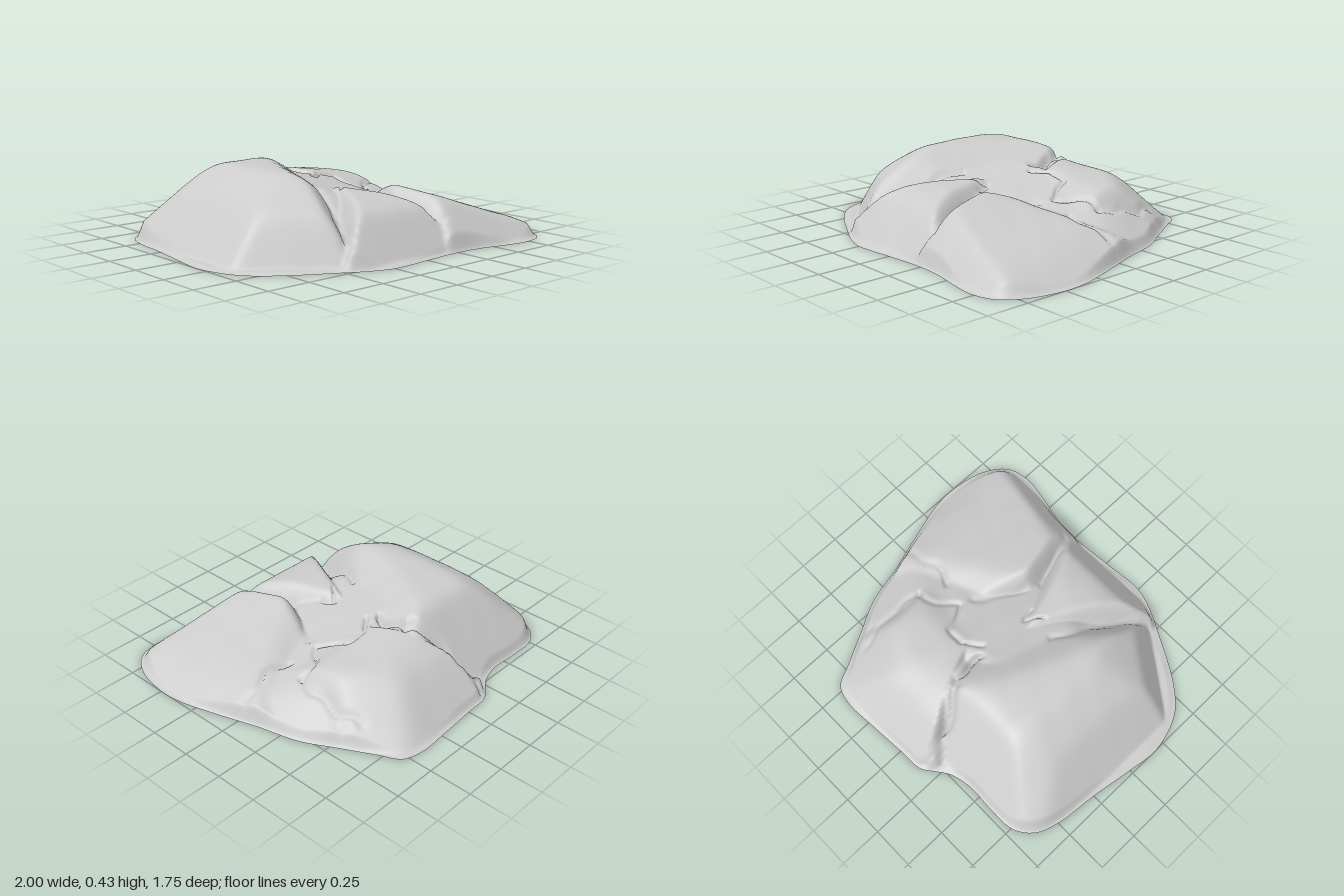
import * as THREE from 'three';
import { mergeVertices } from 'three/addons/utils/BufferGeometryUtils.js';

// Ground outline of the rock as [x, z]
const OUTLINE = [
  [-1, 0.2], [-0.98, 0], [-0.94, -0.25], [-0.91, -0.5], [-0.86, -0.63], [-0.76, -0.705],
  [-0.58, -0.715], [-0.42, -0.71], [-0.3, -0.74], [-0.23, -0.785], [-0.15, -0.84], [0, -0.85],
  [0.2, -0.865], [0.42, -0.875], [0.53, -0.84], [0.59, -0.73], [0.69, -0.54], [0.79, -0.35],
  [0.85, -0.12], [0.92, 0.1], [0.99, 0.35], [1, 0.5], [0.96, 0.7], [0.87, 0.83], [0.74, 0.87],
  [0.58, 0.85], [0.4, 0.81], [0.2, 0.8], [0, 0.815], [-0.25, 0.83], [-0.38, 0.79],
  [-0.55, 0.7], [-0.8, 0.55], [-0.93, 0.42],
];

// Each boulder: a tilted top [height, x tilt, z tilt] cut by sloped sides
// [normal x, normal z, distance from centre, steepness]
const BOULDERS = [
  { // tall left boulder
    top: [0.433, 0, 0],
    sides: [[-1, 0, 0.93, 1.35], [-1, 0, 1.22, 0.6], [-0.6, 0.8, 0.84, 2], [-0.6, 0.8, 1.08, 0.7],
      [0, -1, 0.72, 1.4], [0, -1, 1.24, 0.5], [-0.8, -0.6, 1.13, 0.85],
      [0.9, 0.43, 0.35, 0.7], [0.75, 0.66, 0.19, 1.5], [0.92, -0.39, 0.34, 2.2]],
  },
  { // back right boulder
    top: [0.352, -0.15, 0],
    sides: [[0, -1, 0.85, 1.15], [0, -1, 1.2, 0.45], [1, 0, 0.69, 1.5], [0.707, -0.707, 0.94, 0.9],
      [-0.92, 0.39, -0.1, 4], [0.3, 0.95, 0.38, 0.6]],
  },
  { // front middle boulder
    top: [0.308, -0.03, 0],
    sides: [[0, 1, 0.79, 1.5], [0, 1, 1.22, 0.42], [0.95, -0.3, 0.11, 1.7], [-0.9, -0.43, 0.14, 2]],
  },
  { // front right boulder
    top: [0.4, -0.32, -0.05],
    sides: [[0, 1, 0.84, 1.3], [0, 1, 1.12, 0.55], [0, -1, 0.29, 0.56], [-0.95, 0.3, 0.07, 2],
      [-0.84, -0.54, -0.14, 1.5], [1, 0, 0.99, 0.7]],
  },
  { // low core between the boulders
    top: [0.3, -0.25, -0.2],
    sides: [[0, 1, 0.65, 0.8], [0.95, -0.3, 0.9, 0.7], [0, -1, 0.6, 0.9], [-1, 0, 0.6, 0.8]],
  },
];

// Narrow cracks: [depth, width, points as x, z]
const CRACKS = [
  [0.05, 0.018, [[-0.16, -0.8], [-0.12, -0.6], [-0.03, -0.42], [0.01, -0.38], [0.01, -0.2]]],
  [0.02, 0.014, [[0.06, -0.14], [0.14, -0.24], [0.26, -0.2], [0.33, -0.06], [0.45, -0.14], [0.58, -0.18]]],
  [0.015, 0.018, [[0.58, -0.18], [0.6, -0.4], [0.57, -0.6]]],
  [0.015, 0.02, [[0.14, 0.36], [0.2, 0.2], [0.33, 0.02]]],
  [0.02, 0.014, [[0.5, 0], [0.66, 0.03], [0.84, -0.02]]],
  [0.015, 0.018, [[-0.19, 0.16], [-0.28, 0.38], [-0.42, 0.66]]],
  [0.015, 0.016, [[0.1, 0.36], [0.15, 0.4], [0.19, 0.62], [0.25, 0.71]]],
  [0.015, 0.012, [[-0.06, 0.2], [0, 0.14], [0.03, 0.22]]],
];

// Smooth minimum, and smooth maximum for a negative k
const blend = (values, k) => {
  const m = k > 0 ? Math.min(...values) : Math.max(...values);
  return m - k * Math.log(values.reduce((s, v) => s + Math.exp((m - v) / k), 0));
};

function distanceToSegment(x, z, [ax, az], [bx, bz]) {
  const dx = bx - ax, dz = bz - az;
  const t = THREE.MathUtils.clamp(((x - ax) * dx + (z - az) * dz) / (dx * dx + dz * dz), 0, 1);
  return Math.hypot(x - ax - t * dx, z - az - t * dz);
}

function boulderHeight({ top, sides }, x, z) {
  const planes = sides.map(([nx, nz, d, steep]) => steep * (d - nx * x - nz * z));
  planes.push(top[0] + top[1] * x + top[2] * z);
  return blend(planes, 0.02);
}

function rockHeight(x, z) {
  let y = blend([0.01, ...BOULDERS.map((b) => boulderHeight(b, x, z))], -0.006);
  // cracks wander a little off their paths
  const wx = x + 0.012 * Math.sin(31 * z), wz = z + 0.014 * Math.sin(27 * x + 1);
  for (const [depth, width, points] of CRACKS) {
    let d = Infinity;
    for (let i = 1; i < points.length; i++) {
      d = Math.min(d, distanceToSegment(wx, wz, points[i - 1], points[i]));
    }
    y -= depth * Math.exp(-((d / width) ** 2));
  }
  // gentle weathering
  y += 0.003 * Math.sin(9 * x + 4 * z) * Math.sin(8 * z - 3 * x + 1);
  y += 0.0015 * Math.sin(23 * x - 11 * z) * Math.sin(19 * z + 7 * x);
  return Math.max(y, 0.006);
}

export function createModel() {
  const around = 270, rings = 120;
  const rim = new THREE.CatmullRomCurve3(
    OUTLINE.map(([x, z]) => new THREE.Vector3(x, 0, z)), true).getSpacedPoints(around);

  // Rings from the centre to the outline, lifted by the height rule
  const sheet = new THREE.PlaneGeometry(1, 1, around, rings);
  const pos = sheet.attributes.position;
  for (let i = 0; i < pos.count; i++) {
    const edge = rim[Math.round((pos.getX(i) + 0.5) * around) % around];
    const t = Math.pow(pos.getY(i) + 0.5, 0.8);
    const x = edge.x * t, z = edge.z * t;
    const skirt = 1 - THREE.MathUtils.smoothstep(t, 0.95, 1);
    pos.setXYZ(i, x, rockHeight(x, z) * skirt, z);
  }
  sheet.deleteAttribute('uv');
  sheet.deleteAttribute('normal');
  const geometry = mergeVertices(sheet, 1e-5);
  geometry.computeVertexNormals();

  const rock = new THREE.Mesh(geometry, new THREE.MeshStandardMaterial({
    color: 0xcccccc, side: THREE.DoubleSide,
  }));
  rock.name = 'rockShell';
  const group = new THREE.Group();
  group.name = 'rock';
  group.add(rock);
  return group;
}
